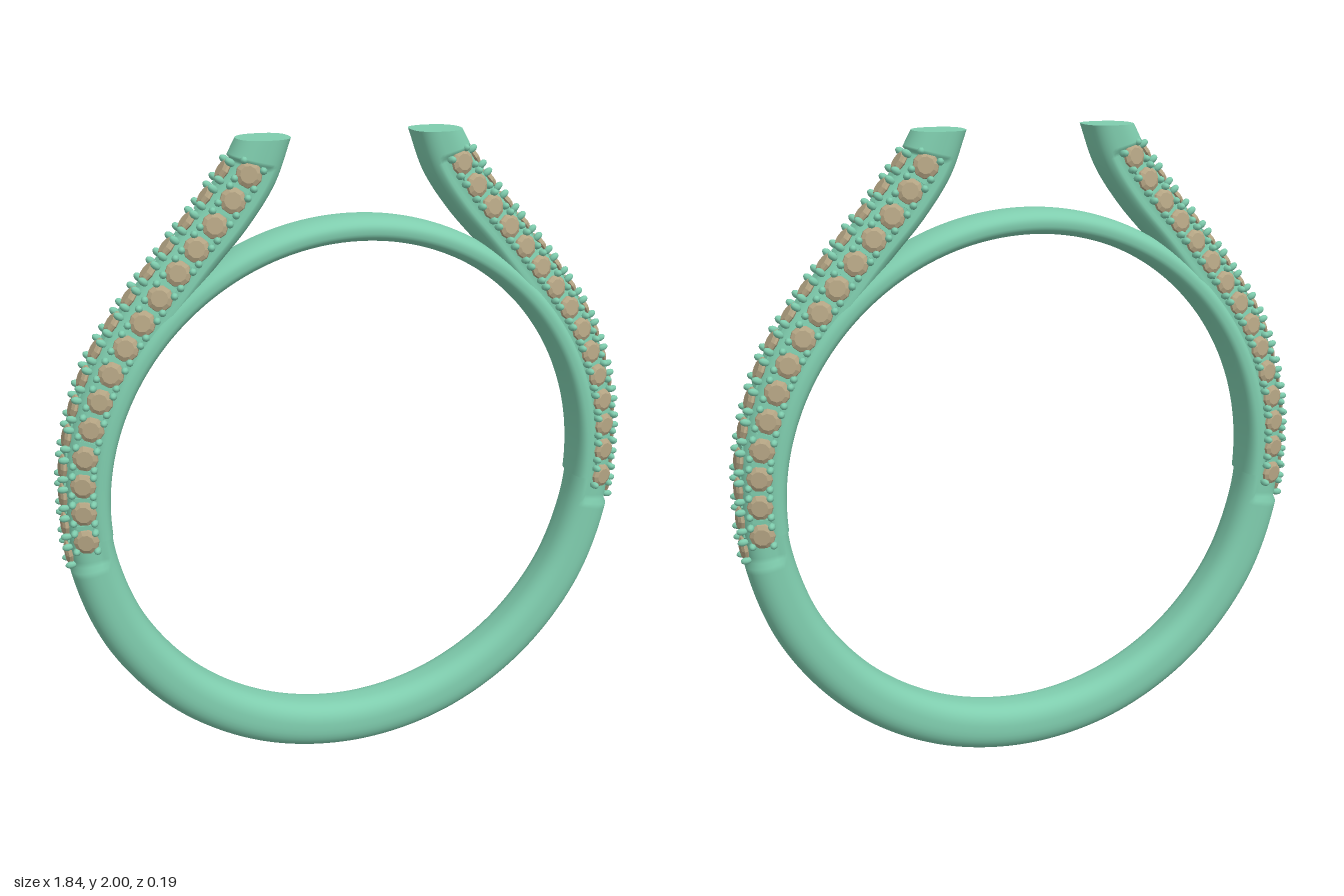
import * as THREE from 'three';
import { mergeGeometries } from 'three/addons/utils/BufferGeometryUtils.js';

const CY = 0.92, R = 0.765, HALF_W = 0.076, AROUND = 40;
const metal = new THREE.MeshStandardMaterial({ color: 0x7fcdae });
const stone = new THREE.MeshStandardMaterial({ color: 0xb5a584, flatShading: true });
const V = (x, y, z = 0) => new THREE.Vector3(x, y, z);
const polar = (r, deg) => {
  const a = THREE.MathUtils.degToRad(deg);
  return V(r * Math.cos(a), CY + r * Math.sin(a));
};

// Inner and outer edge of the right half, from the bottom to the open tip
const half = [[-90, 0.92], [-70, 0.92], [-50, 0.918], [-30, 0.915], [-12, 0.91]]
  .map(([deg, r]) => [polar(R, deg), polar(r, deg)]);
[
  [0.766, 0.92, 0.907, 0.95], [0.75, 1.1, 0.893, 1.13], [0.67, 1.3, 0.815, 1.37],
  [0.56, 1.46, 0.695, 1.55], [0.44, 1.615, 0.57, 1.7], [0.32, 1.75, 0.46, 1.83],
  [0.238, 1.87, 0.385, 1.93], [0.188, 2, 0.345, 2],
].forEach(([a, b, c, d]) => half.push([V(a, b), V(c, d)]));
const LAST = half.length - 1;

// Mirror the half so that the shank runs from the left tip to the right tip
const edge = (k) => new THREE.CatmullRomCurve3([
  ...half.slice(1).reverse().map((p) => V(-p[k].x, p[k].y)),
  ...half.map((p) => p[k]),
]);
const inner = edge(0), outer = edge(1);
const shankEdges = (t) => [inner.getPoint(t), outer.getPoint(t)];
const station = (t) => Math.abs(t * 2 - 1) * LAST;
const isPaved = (t) => station(t) > 4.1 && station(t) < 11.3;

// Rounded cross-section swept between an inner and an outer edge
function sweep(edges, steps, paved) {
  const pos = [], idx = [];
  for (let i = 0; i <= steps; i++) {
    const t = i / steps, [p, q] = edges(t), cut = paved(t);
    for (let j = 0; j < AROUND; j++) {
      const a = (j / AROUND) * Math.PI * 2, c = Math.cos(a), s = Math.sin(a);
      const e = c < 0 ? 0.75 : 0.88;
      let v = 0.5 + 0.5 * Math.sign(c) * Math.abs(c) ** e;
      let z = HALF_W * Math.sign(s) * Math.abs(s) ** e;
      if (cut && c > -0.45) {
        z *= 0.88;
        if (c > 0) v = 0.5 + (v - 0.5) * 0.86;
      }
      const m = p.clone().lerp(q, v);
      pos.push(m.x, m.y, z);
      if (i < steps) {
        const A = i * AROUND + j, B = i * AROUND + (j + 1) % AROUND;
        idx.push(A, A + AROUND, B, B, A + AROUND, B + AROUND);
      }
    }
  }
  // End caps with their own corners, so that their rims stay sharp
  for (const i of [0, steps]) {
    const base = pos.length / 3, [p, q] = edges(i / steps), m = p.lerp(q, 0.5);
    pos.push(...pos.slice(i * AROUND * 3, (i + 1) * AROUND * 3), m.x, m.y, 0);
    for (let j = 0; j < AROUND; j++) {
      const A = base + j, B = base + (j + 1) % AROUND, C = base + AROUND;
      idx.push(...(i === 0 ? [C, A, B] : [C, B, A]));
    }
  }
  const g = new THREE.BufferGeometry();
  g.setAttribute('position', new THREE.Float32BufferAttribute(pos, 3));
  g.setIndex(idx);
  g.computeVertexNormals();
  return g;
}

// Evenly spaced parameters along the shank at depth v, between two stations
function spaced(v, k0, k1, pitch, side) {
  const N = 400, ts = [], len = [0];
  let last = null;
  for (let i = 0; i <= N; i++) {
    const t = 0.5 + (side * (k0 + ((k1 - k0) * i) / N)) / (2 * LAST);
    const [p, q] = shankEdges(t), m = p.lerp(q, v);
    if (last) len.push(len[i - 1] + m.distanceTo(last));
    last = m;
    ts.push(t);
  }
  const n = Math.round(len[N] / pitch);
  return Array.from({ length: n + 1 }, (_, g) =>
    ts[Math.max(0, len.findIndex((l) => l >= (len[N] * g) / n - 1e-9))]);
}

// Placement on the shank: x along it, y out of the surface
function frame(t, v, z, tilt) {
  const at = (u) => { const [p, q] = shankEdges(u); return p.lerp(q, v); };
  const T = at(t + 0.002).sub(at(t - 0.002)).normalize();
  const out = V(T.y, -T.x);
  const n = out.multiplyScalar(Math.cos(tilt)).add(V(0, 0, Math.sin(tilt)));
  const m = new THREE.Matrix4().makeBasis(T, n, T.clone().cross(n));
  return m.setPosition(at(t).setZ(z));
}

export function createModel() {
  const model = new THREE.Group();
  const add = (name, geometry, material, parent = model) => {
    const mesh = new THREE.Mesh(geometry, material);
    mesh.name = name;
    parent.add(mesh);
  };

  add('shank', sweep(shankEdges, 320, isPaved), metal);

  // Thin band closing the finger hole between the two arms
  const bandEdges = (t) => {
    const deg = -5 + 190 * t;
    return [polar(R - 0.001, deg), polar(R + 0.076, deg)];
  };
  add('innerBand', sweep(bandEdges, 120, () => false), metal);

  // Cut stone with a flat table, a bevelled crown and a pointed base
  const gem = new THREE.LatheGeometry(
    [[0, -0.03], [0.039, 0], [0.037, 0.007], [0.025, 0.014], [0, 0.014]]
      .map(([x, y]) => new THREE.Vector2(x, y)), 10);
  const prong = new THREE.SphereGeometry(0.0115, 8, 6).scale(1, 1.5, 1);
  const bridge = new THREE.BoxGeometry(0.012, 0.02, 0.05);

  // Three rows of stones on each arm: front, outer edge and back
  const rows = [
    { name: 'front', v: 0.6, z: 0.064, tilt: 1.25, k0: 4.55, k1: 11 },
    { name: 'outer', v: 0.925, z: 0, tilt: 0, k0: 4.3, k1: 10.85 },
    { name: 'back', v: 0.6, z: -0.064, tilt: -1.25, k0: 4.55, k1: 11 },
  ];
  for (const [sideName, side] of [['left', 1], ['right', -1]]) {
    const arm = new THREE.Group();
    arm.name = sideName + 'ArmSetting';
    model.add(arm);
    for (const { name, v, z, tilt, k0, k1 } of rows) {
      const gems = [], mounts = [];
      const ts = spaced(v, k0, k1, 0.088, side);
      ts.forEach((t, i) => {
        const m = frame(t, v, z, tilt);
        gems.push(gem.clone().applyMatrix4(m));
        for (const a of [-1, 1]) for (const b of [-1, 1])
          mounts.push(prong.clone().translate(a * 0.029, 0.006, b * 0.031).applyMatrix4(m));
        if (i > 0)
          mounts.push(bridge.clone().translate(0, -0.007, 0)
            .applyMatrix4(frame((t + ts[i - 1]) / 2, v, z, tilt)));
      });
      add(name + 'Stones', mergeGeometries(gems), stone, arm);
      add(name + 'Prongs', mergeGeometries(mounts), metal, arm);
    }
  }
  return model;
}
